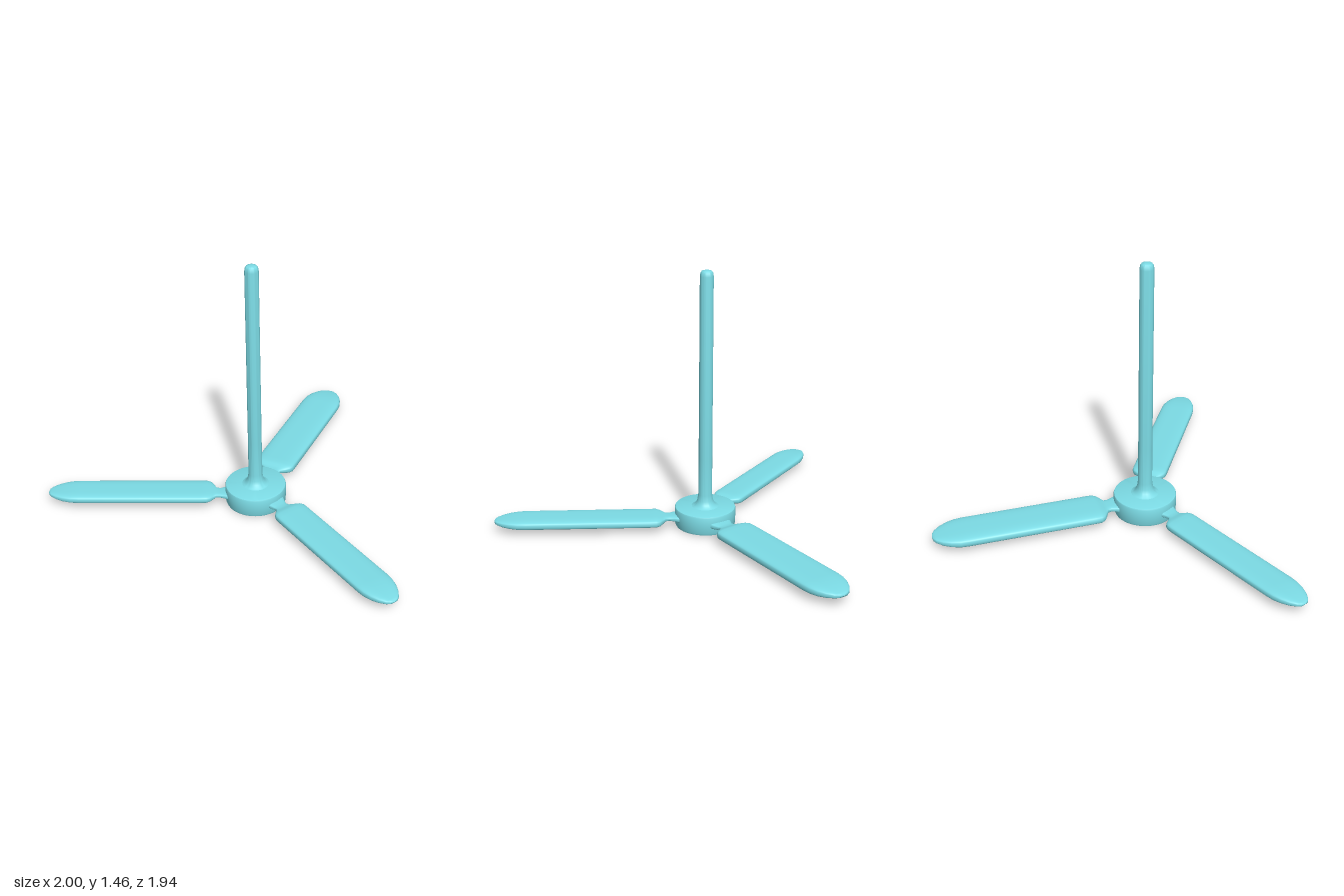
import * as THREE from 'three';
import { toCreasedNormals } from 'three/addons/utils/BufferGeometryUtils.js';

const material = new THREE.MeshStandardMaterial({ color: 0x7cdbe5 });

// Along a blade: [distance from hub centre, half width, half thickness], as shares of the full blade
const STATIONS = [
  [0.14, 0.62, 0.75], [0.175, 0.5, 0.6], [0.2, 0.41, 0.5], [0.222, 0.44, 0.5],
  [0.24, 0.72, 0.65], [0.255, 0.9, 0.85], [0.275, 0.99, 1], [0.31, 1, 1],
  [0.65, 1, 1], [0.99, 1, 1], [1.035, 0.97, 0.97], [1.08, 0.85, 0.85],
  [1.12, 0.66, 0.68], [1.15, 0.43, 0.48], [1.163, 0.25, 0.33], [1.168, 0.02, 0.04],
];

// Lofts flattened rounded sections along +x
function bladeGeometry(halfWidth, halfThick, neckShift, bladeShift) {
  const N = 32, pos = [], idx = [];
  const soft = (v, p) => Math.sign(v) * Math.abs(v) ** p;
  STATIONS.forEach(([s, w, t]) => {
    const centre = THREE.MathUtils.lerp(neckShift, bladeShift, THREE.MathUtils.smoothstep(s, 0.2, 0.26));
    for (let j = 0; j < N; j++) {
      const a = (j / N) * Math.PI * 2;
      pos.push(s, soft(Math.sin(a), 0.6) * t * halfThick, centre + soft(Math.cos(a), 0.6) * w * halfWidth);
    }
  });
  for (let i = 0; i < STATIONS.length - 1; i++) {
    for (let j = 0; j < N; j++) {
      const a = i * N + j, b = i * N + (j + 1) % N;
      idx.push(a, a + N, b, b, a + N, b + N);
    }
  }
  const g = new THREE.BufferGeometry();
  g.setAttribute('position', new THREE.Float32BufferAttribute(pos, 3));
  g.setIndex(idx);
  g.computeVertexNormals();
  return g;
}

function lathe(name, points) {
  const g = new THREE.LatheGeometry(points.map(([r, y]) => new THREE.Vector2(r, y)), 48);
  const mesh = new THREE.Mesh(toCreasedNormals(g, 0.8), material);
  mesh.name = name;
  return mesh;
}

export function createModel() {
  const fan = new THREE.Group();
  fan.name = 'ceilingFan';
  fan.position.set(-0.17, 0, 0.115);

  // Motor housing
  fan.add(lathe('hub', [
    [0, 0], [0.155, 0], [0.165, 0.004], [0.169, 0.014], [0.171, 0.06],
    [0.171, 0.105], [0.168, 0.112], [0.16, 0.115], [0, 0.115],
  ]));

  // Hanging rod with flared foot
  fan.add(lathe('rod', [
    [0.085, 0.112], [0.066, 0.118], [0.052, 0.132], [0.044, 0.152], [0.039, 0.185],
    [0.038, 0.4], [0.037, 1.43], [0.034, 1.448], [0.028, 1.457], [0.016, 1.461], [0, 1.462],
  ]));

  // Blades: heading in degrees, half width, half thickness, sideways shift of neck and blade, length scale
  [
    [9.8, 0.098, 0.026, -0.027, -0.043, 1.01],
    [-112, 0.117, 0.029, 0.007, -0.003, 1],
    [135, 0.091, 0.025, -0.02, -0.01, 1],
  ].forEach(([deg, w, t, neck, shift, len], i) => {
    const blade = new THREE.Mesh(bladeGeometry(w, t, neck, shift), material);
    blade.name = `blade${i + 1}`;
    blade.position.y = 0.06;
    blade.rotation.y = -THREE.MathUtils.degToRad(deg);
    blade.scale.x = len;
    fan.add(blade);
  });

  const model = new THREE.Group();
  model.add(fan);
  return model;
}
